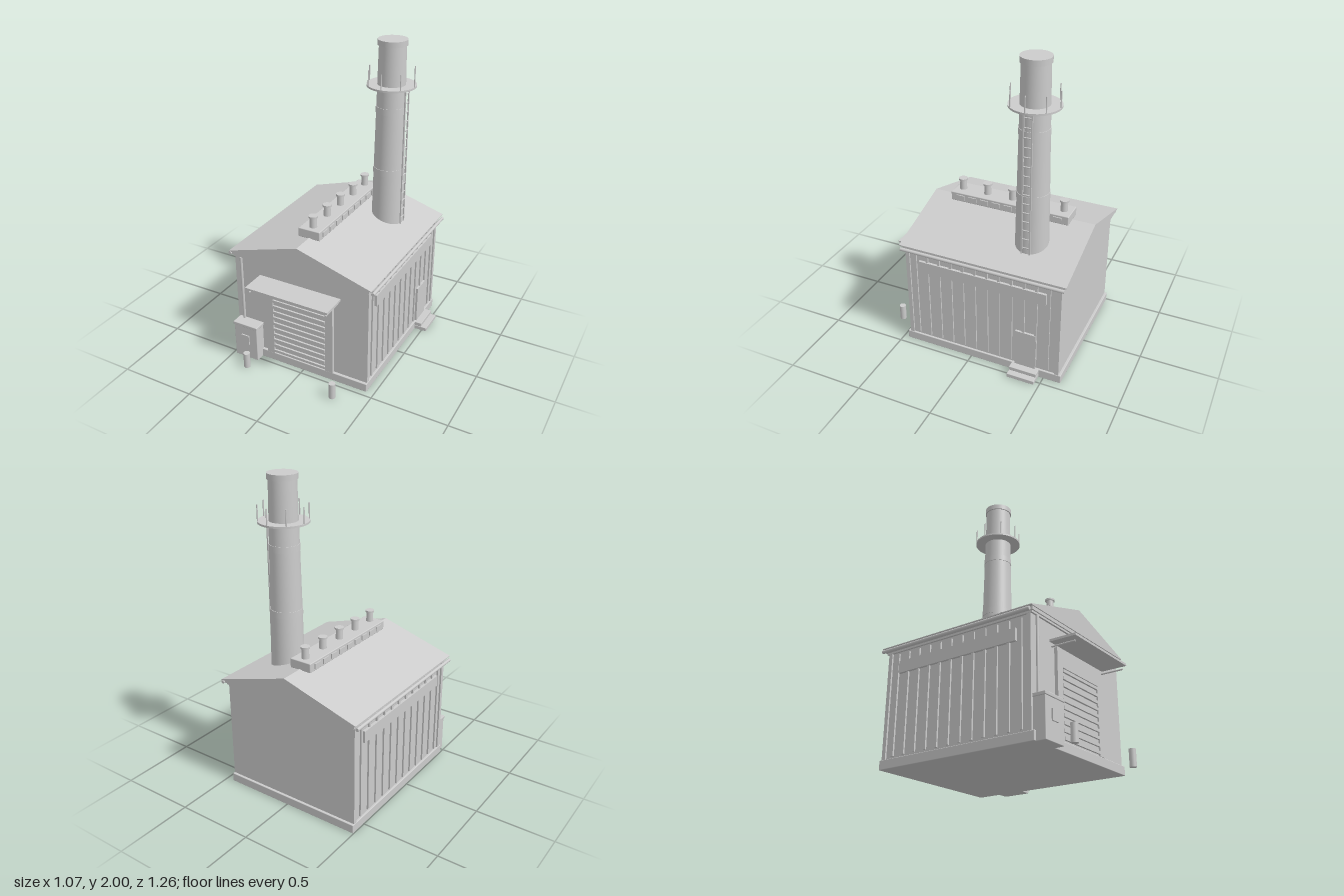
import * as THREE from 'three';
import { RoundedBoxGeometry } from 'three/addons/geometries/RoundedBoxGeometry.js';

export function createModel() {
  const model = new THREE.Group();
  model.name = 'boilerHouse';
  const grey = new THREE.MeshStandardMaterial({ color: 0xcccccc });
  grey.name = 'plainGrey';

  const add = (name, geometry, x = 0, y = 0, z = 0) => {
    const mesh = new THREE.Mesh(geometry, grey);
    mesh.name = name;
    mesh.position.set(x, y, z);
    model.add(mesh);
    return mesh;
  };
  // Box given by its limits, with optional rounded edges
  const box = (name, [x0, x1], [y0, y1], [z0, z1], r = 0) => {
    const s = [x1 - x0, y1 - y0, z1 - z0];
    const g = r ? new RoundedBoxGeometry(...s, 2, r) : new THREE.BoxGeometry(...s);
    return add(name, g, (x0 + x1) / 2, (y0 + y1) / 2, (z0 + z1) / 2);
  };
  // Upright cylinder from y0 to y1
  const post = (name, x, z, y0, y1, rBottom, rTop = rBottom, sides = 20) =>
    add(name, new THREE.CylinderGeometry(rTop, rBottom, y1 - y0, sides), x, (y0 + y1) / 2, z);
  // Cylinder lying along z
  const rod = (name, x, y, z0, z1, r) => {
    const m = add(name, new THREE.CylinderGeometry(r, r, z1 - z0, 12), x, y, (z0 + z1) / 2);
    m.rotation.x = Math.PI / 2;
    return m;
  };

  const CX = -0.024; // middle of the building

  // Foundation, walls and eave bands
  box('foundation', [-0.497, 0.45], [0, 0.057], [-0.614, 0.466], 0.004);
  box('walls', [-0.484, 0.437], [0.05, 0.715], [-0.598, 0.448], 0.005);
  box('lowerEaveBand', [-0.497, 0.45], [0.708, 0.722], [-0.612, 0.46]);
  box('upperEaveBand', [-0.505, 0.457], [0.72, 0.745], [-0.62, 0.468]);

  // Gable roof
  const gable = new THREE.Shape();
  gable.moveTo(-0.498, 0.74);
  gable.lineTo(0.498, 0.74);
  gable.lineTo(0.498, 0.745);
  gable.lineTo(0, 0.894);
  gable.lineTo(-0.498, 0.745);
  gable.closePath();
  add('roof', new THREE.ExtrudeGeometry(gable, { depth: 1.106, bevelEnabled: false }), CX, 0, -0.632);

  // Side walls: gutter, ribs, corner posts and louvre band, mirrored
  for (const s of [-1, 1]) {
    const span = (a, b) => [CX + s * a, CX + s * b].sort((p, q) => p - q);
    rod('gutter', CX + s * 0.502, 0.72, -0.622, 0.463, 0.011);
    for (let i = 0; i < 12; i++) {
      const z = 0.381 - i * 0.082;
      box('wallRib', span(0.455, 0.471), [0.07, 0.695], [z - 0.008, z + 0.008]);
    }
    box('louvreBand', span(0.455, 0.478), [0.567, 0.642], [-0.503, 0.352]);
    for (const z of [-0.585, 0.435])
      box('cornerPost', span(0.452, 0.471), [0.057, 0.708], [z - 0.013, z + 0.013]);
  }

  // Side door with two steps
  box('sideDoor', [0.43, 0.452], [0.055, 0.313], [-0.444, -0.307]);
  box('upperStep', [0.43, 0.497], [0.03, 0.056], [-0.469, -0.287], 0.003);
  box('lowerStep', [0.43, 0.534], [0.003, 0.029], [-0.469, -0.287], 0.003);

  // Roller door and its frame
  box('doorJamb', [-0.267, -0.214], [0.057, 0.58], [0.44, 0.468]);
  box('doorJamb', [0.162, 0.214], [0.057, 0.58], [0.44, 0.468]);
  box('doorHeader', [-0.214, 0.162], [0.475, 0.58], [0.44, 0.468]);
  box('rollerDoor', [-0.214, 0.162], [0.057, 0.475], [0.44, 0.458]);
  for (let i = 0; i < 10; i++) {
    const y = 0.068 + i * 0.0425;
    box('doorSlat', [-0.212, 0.16], [y, y + 0.018], [0.45, 0.47]);
  }

  // Canopy and its supports
  box('canopy', [-0.312, 0.261], [0.6, 0.614], [0.44, 0.615]);
  for (const x of [-0.293, 0.241]) rod('canopyBracket', x, 0.576, 0.44, 0.6, 0.005);

  // Utility cabinet with conduit
  box('cabinet', [-0.48, -0.31], [0, 0.24], [0.44, 0.525], 0.004);
  box('cabinetLid', [-0.485, -0.305], [0.235, 0.256], [0.44, 0.53], 0.004);
  box('cabinetPlate', [-0.425, -0.368], [0.11, 0.175], [0.524, 0.533]);
  post('conduit', -0.444, 0.458, 0.25, 0.71, 0.009);

  // Bollards
  for (const x of [-0.339, 0.286]) post('bollard', x, 0.605, 0, 0.105, 0.021);

  // Ridge vent with side slats and five stacks
  box('ridgeVent', [-0.1, 0.048], [0.886, 0.946], [-0.481, 0.323], 0.005);
  for (let i = 0; i < 9; i++) {
    const z = -0.41 + i * 0.0832;
    box('ventSlat', [-0.107, 0.055], [0.9, 0.932], [z - 0.028, z + 0.028]);
  }
  for (let i = 0; i < 5; i++) {
    const z = -0.426 + i * 0.174;
    post('ventPipe', CX, z, 0.94, 1.012, 0.024, 0.021);
    post('ventCap', CX, z, 1.01, 1.022, 0.029);
  }

  // Chimney
  const X = 0.206, Z = -0.309;
  post('chimney', X, Z, 0.74, 1.97, 0.106, 0.084, 40);
  post('chimneyBand', X, Z, 1.14, 1.18, 0.102, 0.101, 40);
  post('chimneyBand', X, Z, 1.545, 1.585, 0.095, 0.094, 40);
  post('chimneyCap', X, Z, 1.965, 2, 0.092, 0.092, 40);

  // Platform with eight railing posts
  post('platform', X, Z, 1.711, 1.723, 0.155, 0.155, 40);
  for (let i = 0; i < 8; i++) {
    const a = (i * Math.PI) / 4;
    post('railPost', X + 0.151 * Math.cos(a), Z + 0.151 * Math.sin(a), 1.715, 1.82, 0.004, 0.004, 8);
  }

  // Ladder
  for (const z of [Z - 0.026, Z + 0.026])
    box('ladderRail', [0.307, 0.315], [0.78, 1.712], [z - 0.004, z + 0.004]);
  for (let i = 0; i < 15; i++) rod('ladderRung', 0.311, 0.835 + i * 0.06, Z - 0.026, Z + 0.026, 0.004);

  return model;
}
